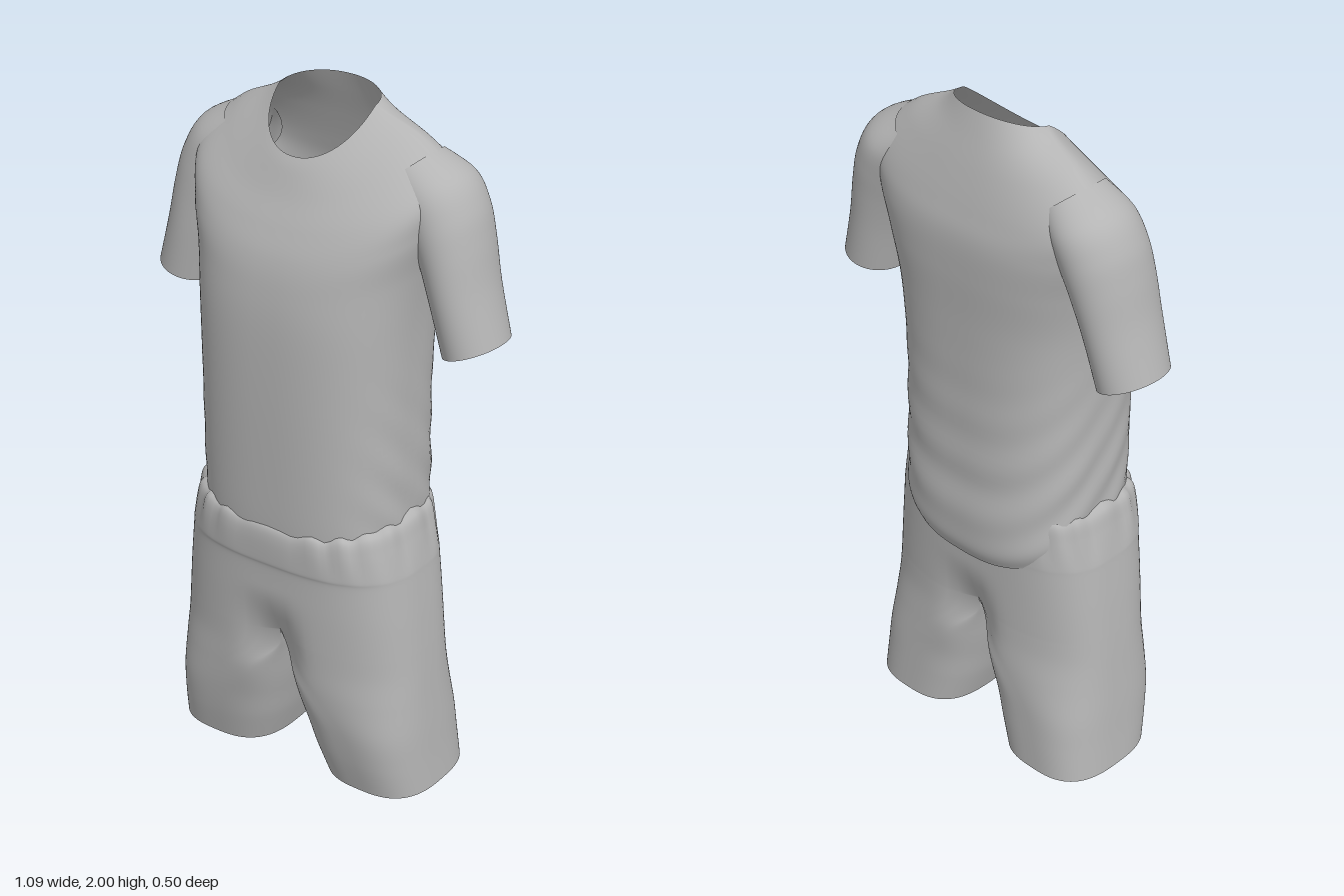
import * as THREE from 'three';
import { mergeGeometries, mergeVertices } from 'three/addons/utils/BufferGeometryUtils.js';

const SEG = 96;
const spow = (v, p) => Math.sign(v) * Math.pow(Math.abs(v), p);
const lerp = THREE.MathUtils.lerp;
const smooth = THREE.MathUtils.smoothstep;

// Smoothly interpolate a table of cross-section parameters, t in 0..1
function sample(rows, t) {
  const f = t * (rows.length - 1);
  const i = Math.min(Math.floor(f), rows.length - 2);
  const k = f - i;
  const at = (j) => rows[THREE.MathUtils.clamp(j, 0, rows.length - 1)];
  return rows[i].map((b, c) => {
    const a = at(i - 1)[c], d = at(i + 1)[c], e = at(i + 2)[c];
    return b + 0.5 * k * (d - a + k * (2 * a - 5 * b + 4 * d - e + k * (3 * (b - d) + e - a)));
  });
}

// Open tube of closed rings; fn(angle, t) gives a point, t runs upward
function loft(fn, steps) {
  const pos = [], idx = [];
  for (let j = 0; j <= steps; j++) {
    for (let i = 0; i < SEG; i++) pos.push(...fn((i / SEG) * Math.PI * 2, j / steps));
  }
  for (let j = 0; j < steps; j++) {
    for (let i = 0; i < SEG; i++) {
      const a = j * SEG + i, b = j * SEG + ((i + 1) % SEG);
      idx.push(a, a + SEG, b, b, a + SEG, b + SEG);
    }
  }
  const g = new THREE.BufferGeometry();
  g.setAttribute('position', new THREE.Float32BufferAttribute(pos, 3));
  g.setIndex(idx);
  g.computeVertexNormals();
  return g;
}

// Same surface on the other side of x = 0, keeping the winding
const mirrored = (fn) => (a, t) => {
  const [x, y, z] = fn(Math.PI - a, t);
  return [-x, y, z];
};

// Shirt body: y, half width, front z, back z, middle z, front dip, back dip,
// front squareness, back squareness, dip curve
const bodyRows = [
  [0.74, 0.302, 0.222, -0.232, 0, 0, 0.07, 2.6, 2.6, 2],
  [0.8, 0.31, 0.235, -0.252, 0, 0, 0.04, 2.6, 2.6, 2],
  [0.95, 0.312, 0.242, -0.243, 0, 0, 0.01, 2.6, 2.6, 2],
  [1.2, 0.312, 0.248, -0.238, 0, 0, 0, 2.6, 2.6, 2],
  [1.42, 0.32, 0.247, -0.24, -0.01, 0.02, 0, 2.6, 2.7, 2],
  [1.58, 0.34, 0.237, -0.245, -0.035, 0.06, 0.01, 2.5, 2.9, 2],
  [1.71, 0.372, 0.219, -0.243, -0.055, 0.105, 0.03, 2.4, 2.9, 1.9],
  [1.82, 0.38, 0.188, -0.225, -0.07, 0.14, 0.06, 2.3, 2.8, 1.7],
  [1.905, 0.29, 0.153, -0.195, -0.07, 0.155, 0.045, 2.2, 2.4, 1.4],
  [1.955, 0.19, 0.122, -0.165, -0.055, 0.135, 0.01, 2.1, 2.2, 1.2],
  [1.977, 0.15, 0.105, -0.145, -0.045, 0.127, -0.023, 2.1, 2.1, 1.1],
];
function bodyPoint(a, t) {
  const [y0, rx, zf, zb, zc, dipF, dipB, nF, nB, curve] = sample(bodyRows, t);
  const front = Math.sin(a) > 0;
  const n = front ? nF : nB;
  const c = spow(Math.cos(a), 2 / n), s = spow(Math.sin(a), 2 / n);
  const y = y0 - (front ? dipF : dipB) * Math.abs(s) ** curve;
  const z = zc + s * (front ? zf - zc : zc - zb);
  // Slanting cloth folds, strongest low down at the sides
  const fade = (1 - smooth(y, 0.9, 1.4)) * (1 - smooth(z, 0.05, 0.22));
  const fold = 1 + 0.01 * fade * Math.sin((Math.PI * 2 * (y - z)) / 0.15);
  return [c * rx * fold, y, z * fold];
}

// Sleeve: outer x, outer y, inner x, inner y, half depth, middle z
const sleeveRows = [
  [0.546, 1.405, 0.385, 1.35, 0.11, -0.06],
  [0.505, 1.55, 0.35, 1.48, 0.12, -0.062],
  [0.48, 1.67, 0.315, 1.58, 0.127, -0.067],
  [0.455, 1.758, 0.28, 1.66, 0.13, -0.072],
  [0.408, 1.832, 0.245, 1.73, 0.125, -0.075],
  [0.318, 1.883, 0.2, 1.78, 0.1, -0.07],
];
function sleevePoint(a, t) {
  const [xo, yo, xi, yi, d, zc] = sample(sleeveRows, t);
  const k = 0.5 + 0.5 * Math.cos(a);
  return [lerp(xi, xo, k), lerp(yi, yo, k), zc + d * Math.sin(a)];
}

// Valley along the middle of the shorts, deepening towards the crotch
const valley = (x, y) => 1 - 0.32 * (1 - smooth(y, 0.36, 0.62)) * Math.exp(-((x / 0.07) ** 2));

// Squareness of the shorts outline
const SHORTS_POWER = 2 / 2.8;

// Shorts seat and waist: y, half width, front z, back z, gather amount, front dip
const seatRows = [
  [0.46, 0.384, 0.229, -0.205, 0, 0],
  [0.57, 0.373, 0.234, -0.207, 0, 0],
  [0.68, 0.36, 0.238, -0.21, 0, 0],
  [0.715, 0.355, 0.243, -0.212, 0.1, 0.005],
  [0.79, 0.338, 0.245, -0.215, 0.7, 0.015],
  [0.84, 0.325, 0.239, -0.215, 0.9, 0.03],
  [0.865, 0.302, 0.222, -0.205, 0.6, 0.04],
];
function seatPoint(a, t) {
  const [y0, rx, zf, zb, gather, dip] = sample(seatRows, t);
  const c = spow(Math.cos(a), SHORTS_POWER), s = spow(Math.sin(a), SHORTS_POWER);
  const wave = gather * Math.cos(a * 20) * (0.75 + 0.25 * Math.cos(a * 6));
  const k = 1 + 0.018 * wave;
  const x = c * rx * k;
  const y = y0 - dip * Math.max(0, s) ** 2 + 0.008 * wave;
  return [x, y, s * (s > 0 ? zf : -zb) * k * valley(x, y0)];
}

// Shorts leg: y, outer x, inner x, front z, back z, share of the half-seat outline
const legRows = [
  [0.005, 0.42, 0.09, 0.16, -0.21, 0],
  [0.1, 0.412, 0.06, 0.183, -0.208, 0],
  [0.2, 0.405, 0.038, 0.201, -0.206, 0.08],
  [0.3, 0.397, 0.022, 0.214, -0.205, 0.45],
  [0.39, 0.39, 0.008, 0.224, -0.205, 0.9],
  [0.46, 0.384, 0, 0.229, -0.205, 1],
];
function legPoint(a, t) {
  const [y, xo, xi, zf, zb, share] = sample(legRows, t);
  const c = spow(Math.cos(a), SHORTS_POWER), s = spow(Math.sin(a), SHORTS_POWER);
  const round = (xo + xi) / 2 + (c * (xo - xi)) / 2;
  const x = lerp(round, xo * Math.max(0, c), share);
  const zc = lerp((zf + zb) / 2, 0, share);
  const z = zc + s * (s > 0 ? zf - zc : zc - zb);
  return [x, y, z * lerp(1, valley(x, y), share)];
}

export function createModel() {
  const cloth = new THREE.MeshStandardMaterial({ color: 0xb4b4b4, side: THREE.DoubleSide });
  cloth.name = 'grey cloth';
  const model = new THREE.Group();
  model.name = 'shirtAndShorts';
  const add = (name, geometry, parent) => {
    const mesh = new THREE.Mesh(geometry, cloth);
    mesh.name = name;
    parent.add(mesh);
  };

  // Shirt with an open collar and short sleeves
  const shirt = new THREE.Group();
  shirt.name = 'shirt';
  add('shirtBody', loft(bodyPoint, 100), shirt);
  add('leftSleeve', loft(sleevePoint, 30), shirt);
  add('rightSleeve', loft(mirrored(sleevePoint), 30), shirt);
  model.add(shirt);

  // Shorts: seat and both legs welded into one smooth surface
  const parts = [loft(seatPoint, 60), loft(legPoint, 40), loft(mirrored(legPoint), 40)];
  parts.forEach((g) => g.deleteAttribute('normal'));
  const shorts = mergeVertices(mergeGeometries(parts), 1e-4);
  shorts.computeVertexNormals();
  add('shorts', shorts, model);

  return model;
}
